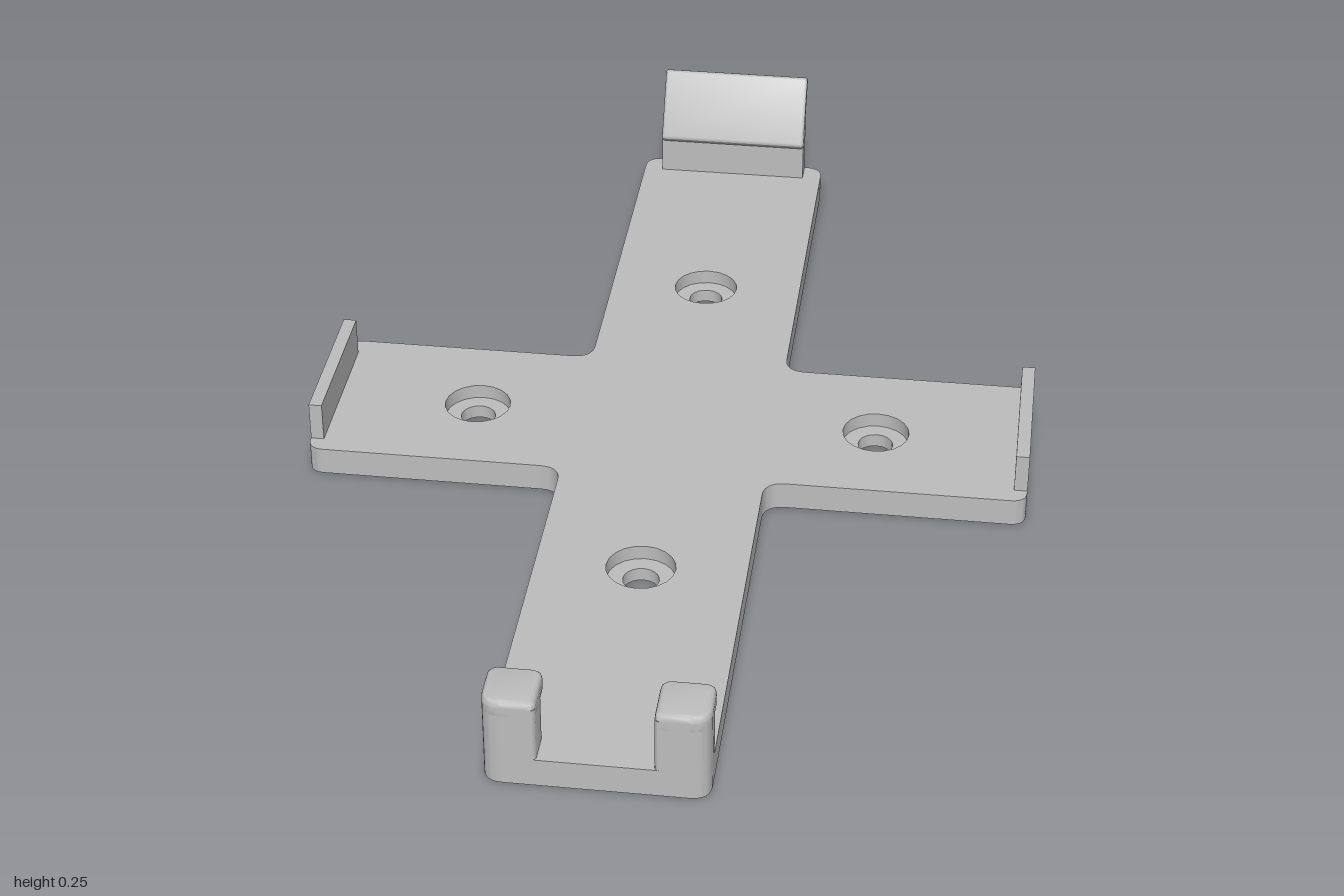
import * as THREE from 'three';
import { toCreasedNormals } from 'three/addons/utils/BufferGeometryUtils.js';

// Closed outline through [x, y, radius] corners, each rounded by its radius
function roundedOutline(corners) {
  const shape = new THREE.Shape();
  const n = corners.length;
  corners.forEach(([x, y, r = 0], i) => {
    const p = new THREE.Vector2(x, y);
    const toward = ([qx, qy]) => new THREE.Vector2(qx, qy).sub(p).setLength(r).add(p);
    const a = toward(corners[(i + n - 1) % n]);
    const b = toward(corners[(i + 1) % n]);
    if (i === 0) shape.moveTo(a.x, a.y);
    else shape.lineTo(a.x, a.y);
    if (r > 0) shape.quadraticCurveTo(x, y, b.x, b.y);
  });
  shape.closePath();
  return shape;
}

// Extrusion whose bevel stays inside the outline and the given depth
function extrude(shape, depth, bevel = 0) {
  const geometry = new THREE.ExtrudeGeometry(shape, {
    depth: depth - 2 * bevel, curveSegments: 10, bevelEnabled: bevel > 0,
    bevelSize: bevel, bevelThickness: bevel, bevelOffset: -bevel, bevelSegments: 3,
  });
  return geometry.translate(0, 0, bevel);
}

// Plan outline (x, -z) raised from y0 to y1
function slab(shape, y0, y1, bevel) {
  return extrude(shape, y1 - y0, bevel).rotateX(-Math.PI / 2).translate(0, y0, 0);
}

// Side profile (z, y) swept across x, centred
function sweep(shape, width, bevel) {
  return extrude(shape, width, bevel).rotateY(-Math.PI / 2).translate(width / 2, 0, 0);
}

export function createModel() {
  const group = new THREE.Group();
  const grey = new THREE.MeshStandardMaterial({ color: 0xbdbdbd });
  grey.name = 'grey plastic';
  const add = (name, geometry) => {
    const mesh = new THREE.Mesh(toCreasedNormals(geometry, 0.6), grey);
    mesh.name = name;
    group.add(mesh);
  };

  const top = 0.052, ledge = 0.025;
  const armX = 0.655, half = 0.185, front = 1, back = -0.965, mid = 0.006;

  // Cross-shaped base in two layers, so the screw holes are counterbored
  const plate = (holeRadius) => {
    const shape = roundedOutline([
      [-half, -front, 0.035], [half, -front, 0.035],
      [half, -mid - half, 0.04], [armX, -mid - half, 0.03],
      [armX, -mid + half, 0.03], [half, -mid + half, 0.04],
      [half, -back, 0.035], [-half, -back, 0.035],
      [-half, -mid + half, 0.04], [-armX, -mid + half, 0.03],
      [-armX, -mid - half, 0.03], [-half, -mid - half, 0.04],
    ]);
    for (const [x, z] of [[0.372, mid], [-0.372, mid], [0, 0.471], [0, -0.46]]) {
      shape.holes.push(new THREE.Path().absarc(x, -z, holeRadius, 0, Math.PI * 2, true));
    }
    return shape;
  };
  add('baseLower', slab(plate(0.032), 0, ledge));
  add('baseUpper', slab(plate(0.061), ledge, top));

  for (const [side, s] of [['left', 1], ['right', -1]]) {
    // Low lip at the end of each side arm
    const lip = new THREE.BoxGeometry(0.024, 0.125 - ledge, 0.295);
    add(side + 'Lip', lip.translate(s * (armX - 0.012), (0.125 + ledge) / 2, 0.01));

    // Front corner hook: a post with a cap reaching inward
    const post = roundedOutline([
      [s * 0.095, -front, 0.008], [s * half, -front, 0.035],
      [s * half, -0.945], [s * 0.095, -0.945],
    ]);
    add(side + 'HookPost', slab(post, top, 0.152));
    const cap = roundedOutline([
      [s * 0.095, -front, 0.012], [s * half, -front, 0.035],
      [s * half, -0.905, 0.02], [s * 0.095, -0.905, 0.02],
    ]);
    add(side + 'HookCap', slab(cap, 0.127, 0.163, 0.009));
  }

  // Rear clip: upright wall with a flap leaning outward
  add('clipWall', sweep(roundedOutline([
    [-0.962, ledge], [-0.919, ledge], [-0.919, 0.14], [-0.945, 0.172], [-0.962, 0.165],
  ]), 0.296));
  add('clipFlap', sweep(roundedOutline([
    [-0.962, 0.125], [-0.919, 0.121], [-0.908, 0.132, 0.006],
    [-0.982, 0.255, 0.008], [-1.0, 0.246, 0.006], [-0.962, 0.177, 0.01],
  ]), 0.296, 0.005));

  return group;
}
